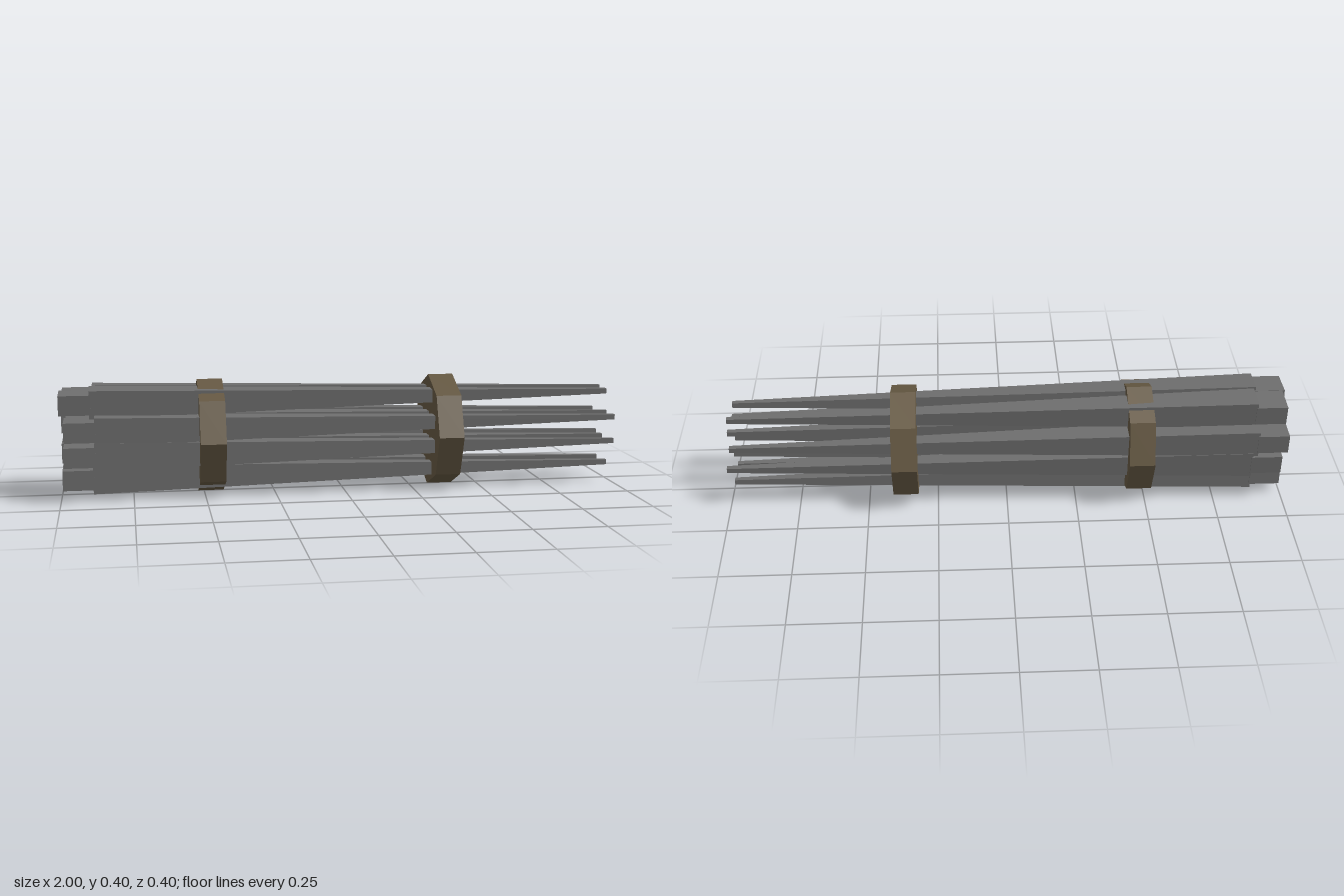
import * as THREE from 'three';

const steel = new THREE.MeshStandardMaterial({ color: 0x6e6e6e, flatShading: true });
steel.name = 'dark grey steel';
const strap = new THREE.MeshStandardMaterial({ color: 0x655842, flatShading: true });
strap.name = 'brown strap';

// Tapered square spike along +x with a flatter butt block behind it
function makeSpike(y, z, shift, twist) {
  const spike = new THREE.Group();
  spike.name = 'spike';

  const length = 1.875;
  const shaftGeo = new THREE.CylinderGeometry(0.009 * Math.SQRT2, 0.05 * Math.SQRT2, length, 4);
  shaftGeo.rotateY(Math.PI / 4).rotateZ(-Math.PI / 2);
  const shaft = new THREE.Mesh(shaftGeo, steel);
  shaft.name = 'spikeShaft';
  shaft.position.x = -0.885 + length / 2;

  const butt = new THREE.Mesh(new THREE.BoxGeometry(0.11, 0.07, 0.106), steel);
  butt.name = 'spikeButt';
  butt.position.x = -0.935;

  spike.add(shaft, butt);
  spike.position.set(shift, y, z);
  spike.rotation.x = twist;
  return spike;
}

// Solid eight-sided binding disc around the bundle
function makeBand(x) {
  const geo = new THREE.CylinderGeometry(0.202, 0.202, 0.09, 8);
  geo.rotateZ(-Math.PI / 2);
  const band = new THREE.Mesh(geo, strap);
  band.name = 'bindingBand';
  band.position.set(x, 0.203, 0);
  return band;
}

export function createModel() {
  const model = new THREE.Group();
  model.name = 'spikeBundle';

  // Rows of [z, shift along x, twist]
  const rows = [
    { y: 0.337, spikes: [[0.052, -0.012, 0.05], [-0.051, -0.003, -0.03]] },
    { y: 0.248, spikes: [[0.102, 0.005, 0.02], [0, 0.01, 0], [-0.102, -0.009, -0.02]] },
    { y: 0.16, spikes: [[0.102, 0.003, 0], [0, -0.005, 0.02], [-0.101, 0.008, -0.04]] },
    { y: 0.071, spikes: [[0.052, -0.004, 0], [-0.05, -0.005, 0.04]] },
  ];
  for (const { y, spikes } of rows) {
    for (const [z, shift, twist] of spikes) model.add(makeSpike(y, z, shift, twist));
  }

  for (const x of [-0.475, 0.365]) model.add(makeBand(x));
  return model;
}
